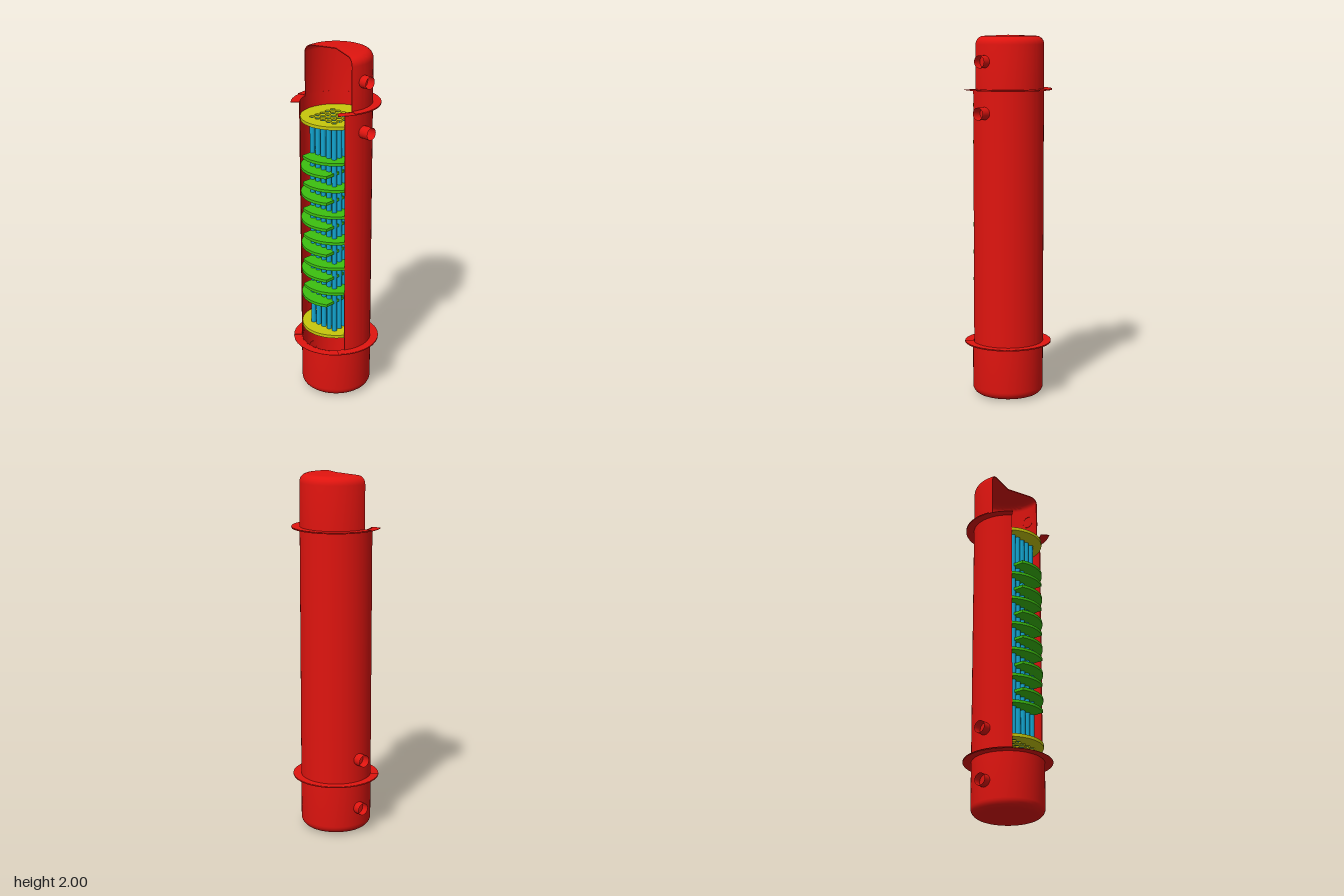
import * as THREE from 'three';
import { toCreasedNormals } from 'three/addons/utils/BufferGeometryUtils.js';

const paint = (color) => new THREE.MeshStandardMaterial({ color, side: THREE.DoubleSide });
const RED = paint(0xe0140f), YELLOW = paint(0xc8c80c), GREEN = paint(0x3cc010), BLUE = paint(0x12a5d0);
const rad = THREE.MathUtils.degToRad;
const R = 0.196;      // outer radius of shell and heads
const WALL = 0.005;
const FLANGE = 0.241;
const INNER = R - WALL;

export function createModel() {
  const root = new THREE.Group();
  root.name = 'cutawayHeatExchanger';
  const body = new THREE.Group();
  body.name = 'body';
  body.position.x = -0.005;
  root.add(body);

  const add = (name, geometry, material, parent = body) => {
    const mesh = new THREE.Mesh(geometry, material);
    mesh.name = name;
    parent.add(mesh);
    return mesh;
  };

  // Turns a closed [radius, y] outline between two angles (degrees from +z towards +x) and closes the cut ends
  const turned = (name, outline, from = 0, to = 360, segments = 64) => {
    const points = outline.map(([r, y]) => new THREE.Vector2(r, y));
    const group = new THREE.Group();
    group.name = name;
    body.add(group);
    const lathe = new THREE.LatheGeometry([...points, points[0].clone()], segments, rad(from), rad(to - from));
    add(name + 'Wall', toCreasedNormals(lathe, 0.6), RED, group);
    if (to - from < 360) {
      for (const angle of [from, to]) {
        add(name + 'CutFace', new THREE.ShapeGeometry(new THREE.Shape(points)), RED, group)
          .rotation.y = rad(angle - 90);
      }
    }
  };

  // Hollow head outline: straight wall, rounded shoulder, nearly flat end
  const headOutline = (open, shoulder, end) => {
    const up = Math.sign(end - open);
    const skin = (inset) => {
      const f = 0.045 - inset;
      const points = [[R - inset, open]];
      for (let i = 0; i <= 6; i++) {
        const a = (i / 6) * Math.PI / 2;
        points.push([R - 0.045 + f * Math.cos(a), shoulder + up * f * Math.sin(a)]);
      }
      points.push([0, end - up * inset]);
      return points;
    };
    const outline = [...skin(0), ...skin(WALL).reverse()];
    return up > 0 ? outline : outline.reverse();
  };

  // Shell and heads, with the front cut away
  turned('shell', [[R, 0.302], [R, 1.709], [INNER, 1.709], [INNER, 0.302]], 56.4, 314.8);
  turned('topHead', headOutline(1.709, 1.95, 2), 67.6, 281.3);
  turned('bottomHead', headOutline(0.302, 0.05, 0));

  // Thin flange pairs: shell collars and head rims
  const flange = (name, y, from, to) => turned(name,
    [[FLANGE, y - 0.001], [FLANGE, y + 0.001], [INNER, y + 0.001], [INNER, y - 0.001]], from, to, 32);
  flange('topShellFlange', 1.706, 45.2, 314.8);
  flange('bottomShellFlange', 0.305, 45.2, 314.8);
  flange('topHeadFlange', 1.711, 67.6, 281.3);
  flange('bottomHeadFlange', 0.3, 0, 360);

  // Side nozzles: [name, side, y, outer end]
  for (const [name, side, y, end] of [
    ['topHeadNozzle', 1, 1.86, 0.24], ['upperShellNozzle', 1, 1.585, 0.252],
    ['lowerShellNozzle', -1, 0.435, 0.242], ['bottomHeadNozzle', -1, 0.15, 0.235],
  ]) {
    const start = 0.188;
    const nozzle = add(name, new THREE.CylinderGeometry(0.034, 0.034, end - start, 24, 1, true), RED);
    nozzle.rotation.z = Math.PI / 2;
    nozzle.position.set(side * (start + end) / 2, y, 0);
  }

  // Tube grid, 5 by 5, set slightly towards the front
  const spots = [];
  for (let i = -2; i <= 2; i++) for (let j = -2; j <= 2; j++) spots.push([i * 0.04, 0.02 + j * 0.04]);

  // Horizontal plate drawn in plan (shape y becomes -z), centred on height y
  const plate = (name, shape, y, thickness, material) => {
    const geometry = new THREE.ExtrudeGeometry(shape, { depth: thickness, bevelEnabled: false, curveSegments: 24 });
    geometry.rotateX(-Math.PI / 2).translate(0, y - thickness / 2, 0);
    add(name, toCreasedNormals(geometry, 0.6), material);
  };

  // Perforated tube sheets
  for (const [name, y] of [['topTubeSheet', 1.622], ['bottomTubeSheet', 0.39]]) {
    const disc = new THREE.Shape().absarc(0, 0, INNER, 0, Math.PI * 2);
    for (const [x, z] of spots) disc.holes.push(new THREE.Path().absarc(x, -z, 0.0148, 0, Math.PI * 2, true));
    plate(name, disc, y, 0.018, YELLOW);
  }

  // Tubes
  const tubeGeometry = new THREE.CylinderGeometry(0.0138, 0.0138, 1.236, 16);
  for (const [x, z] of spots) add('tube', tubeGeometry, BLUE).position.set(x, 1.006, z);

  // Baffles, cut straight on alternating sides
  const cut = Math.acos(0.087 / INNER);
  for (let i = 0; i < 12; i++) {
    const middle = i % 2 ? 0 : Math.PI;
    const disc = new THREE.Shape().absarc(0, 0, INNER, middle + cut, middle + Math.PI * 2 - cut);
    plate('baffle', disc, 0.58 + 0.0764 * (11 - i), 0.016, GREEN);
  }
  return root;
}
